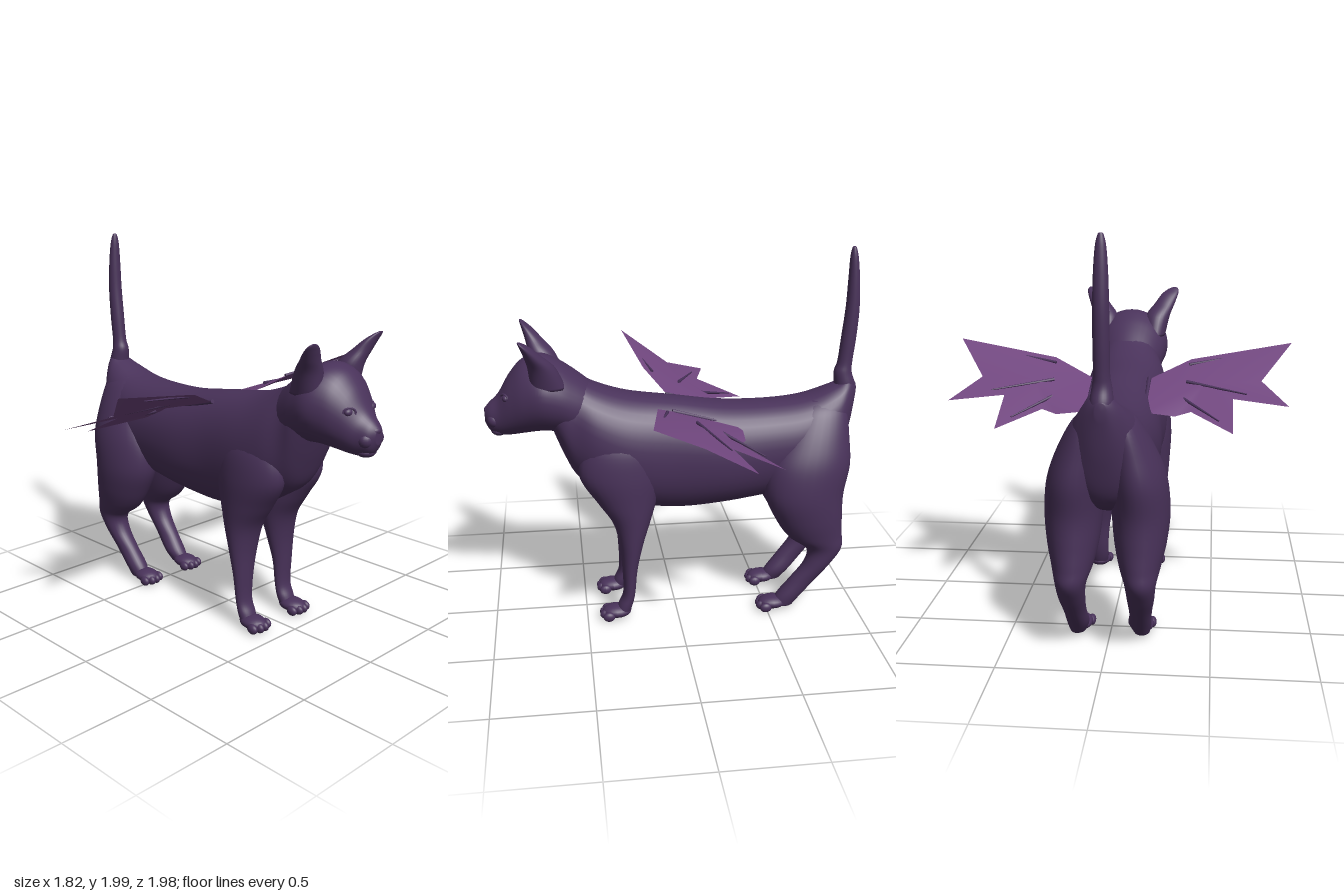
import * as THREE from 'three';

const coat = new THREE.MeshStandardMaterial({ color: 0x49325a });
coat.name = 'dark plum coat';
const membrane = new THREE.MeshStandardMaterial({ color: 0x71477f, side: THREE.DoubleSide });
membrane.name = 'violet wing membrane';

// Smooth loft through rings [t, a0, a1, x0, x1]: t runs along the axis (y or z),
// a0..a1 is the extent on the other upright axis, x0..x1 the extent across.
function loft(axis, rings, steps = 6, sides = 28, power = 1) {
  const n = rings.length - 1, rows = n * steps, pos = [], idx = [];
  const at = (i) => rings[Math.min(n, Math.max(0, i))];
  const push = (x, a, t) => (axis === 'y' ? pos.push(x, t, a) : pos.push(x, a, t));
  const soft = (v) => Math.sign(v) * Math.abs(v) ** power;
  const sample = (u) => {
    const i = Math.min(n - 1, Math.floor(u)), f = u - i;
    return at(i).map((p1, k) => {
      const p0 = at(i - 1)[k], p2 = at(i + 1)[k], p3 = at(i + 2)[k];
      return p1 + 0.5 * f * (p2 - p0 + f * (2 * p0 - 5 * p1 + 4 * p2 - p3 + f * (3 * (p1 - p2) + p3 - p0)));
    });
  };
  for (let r = 0; r <= rows; r++) {
    const [t, a0, a1, x0, x1] = sample(r / steps);
    for (let j = 0; j < sides; j++) {
      const q = (j / sides) * Math.PI * 2;
      push((x0 + x1) / 2 + soft(Math.cos(q)) * (x1 - x0) / 2, (a0 + a1) / 2 + soft(Math.sin(q)) * (a1 - a0) / 2, t);
    }
  }
  const flip = (axis === 'z') !== (rings[n][0] < rings[0][0]);
  const tri = (a, b, c) => (flip ? idx.push(a, c, b) : idx.push(a, b, c));
  for (const e of [rings[0], rings[n]]) push((e[3] + e[4]) / 2, (e[1] + e[2]) / 2, e[0]);
  const first = (rows + 1) * sides, last = rows * sides;
  for (let j = 0; j < sides; j++) {
    const k = (j + 1) % sides;
    for (let r = 0; r < rows; r++) {
      const a = r * sides + j, b = r * sides + k;
      tri(a, a + sides, b);
      tri(b, a + sides, b + sides);
    }
    tri(first, j, k);
    tri(first + 1, last + k, last + j);
  }
  return build(pos, idx);
}

function build(pos, idx) {
  const g = new THREE.BufferGeometry();
  g.setAttribute('position', new THREE.Float32BufferAttribute(pos, 3));
  g.setIndex(idx);
  g.computeVertexNormals();
  return g;
}

function mirrored(geometry) {
  const g = geometry.clone().scale(-1, 1, 1), ix = g.index.array;
  for (let i = 0; i < ix.length; i += 3) [ix[i], ix[i + 1]] = [ix[i + 1], ix[i]];
  g.computeVertexNormals();
  return g;
}

const ball = (x, y, z, rx, ry, rz) => new THREE.SphereGeometry(1, 20, 14).scale(rx, ry, rz).translate(x, y, z);

// Thin pointed rib between two points
function rib(a, b, r) {
  const from = new THREE.Vector3(...a), to = new THREE.Vector3(...b), dir = to.clone().sub(from);
  const g = new THREE.CylinderGeometry(r * 0.4, r, dir.length(), 8);
  g.applyQuaternion(new THREE.Quaternion().setFromUnitVectors(new THREE.Vector3(0, 1, 0), dir.normalize()));
  const mid = from.add(to).multiplyScalar(0.5);
  return g.translate(mid.x, mid.y, mid.z);
}

export function createModel() {
  const model = new THREE.Group();
  const add = (name, geometry, material = coat) => {
    const m = new THREE.Mesh(geometry, material);
    m.name = name;
    model.add(m);
  };
  const pair = (name, geometry, material) => {
    add(name + 'Left', geometry, material);
    add(name + 'Right', mirrored(geometry), material);
  };
  const even = (rows) => rows.map(([t, a0, a1, w]) => [t, a0, a1, -w, w]);

  // Torso, rump to neck: z, bottom, top, half width
  add('torso', loft('z', even([
    [-0.985, 1.2, 1.27, 0.025], [-0.94, 0.98, 1.3, 0.09], [-0.86, 0.78, 1.265, 0.16], [-0.7, 0.69, 1.21, 0.21],
    [-0.5, 0.66, 1.19, 0.22], [-0.25, 0.625, 1.195, 0.23], [0, 0.61, 1.23, 0.225], [0.25, 0.65, 1.265, 0.24],
    [0.42, 0.74, 1.32, 0.225], [0.53, 0.82, 1.38, 0.19], [0.6, 0.96, 1.41, 0.18], [0.66, 1.12, 1.42, 0.16],
  ]), 6, 36, 0.92));

  // Head with tapered muzzle
  add('head', loft('z', even([
    [0.42, 1.04, 1.31, 0.14], [0.52, 1.04, 1.39, 0.18], [0.61, 1.07, 1.45, 0.205], [0.7, 1.08, 1.485, 0.214],
    [0.79, 1.07, 1.46, 0.18], [0.86, 1.06, 1.385, 0.135], [0.92, 1.06, 1.285, 0.09], [0.97, 1.085, 1.235, 0.06],
    [0.995, 1.13, 1.205, 0.025],
  ]), 6, 36));
  pair('cheekPad', ball(0.035, 1.15, 0.945, 0.045, 0.042, 0.04));
  add('chin', ball(0, 1.085, 0.925, 0.055, 0.03, 0.045));
  add('nose', ball(0, 1.195, 0.977, 0.032, 0.02, 0.022));
  pair('eye', ball(0.088, 1.28, 0.878, 0.026, 0.02, 0.02));
  const lid = new THREE.TorusGeometry(0.03, 0.006, 8, 24).scale(1, 0.72, 1).rotateY(0.65).translate(0.089, 1.28, 0.885);
  pair('eyelid', lid);

  // Ears flaring outward and forward
  pair('ear', loft('y', [
    [1.34, 0.57, 0.75, 0.08, 0.2], [1.45, 0.62, 0.76, 0.085, 0.225], [1.52, 0.685, 0.775, 0.135, 0.252],
    [1.57, 0.735, 0.79, 0.172, 0.27], [1.597, 0.77, 0.799, 0.205, 0.273], [1.61, 0.79, 0.802, 0.235, 0.262],
  ]));

  // Front legs, ankle to shoulder
  pair('frontLeg', loft('y', [
    [0.035, 0.27, 0.35, 0.11, 0.2], [0.09, 0.25, 0.33, 0.1, 0.205], [0.16, 0.236, 0.303, 0.1, 0.205],
    [0.3, 0.222, 0.305, 0.088, 0.217], [0.45, 0.188, 0.318, 0.055, 0.233], [0.58, 0.148, 0.352, 0.03, 0.243],
    [0.7, 0.115, 0.43, 0.02, 0.252], [0.85, 0.09, 0.52, 0.03, 0.258], [1, 0.11, 0.5, 0.05, 0.24],
    [1.13, 0.18, 0.42, 0.08, 0.18],
  ]));

  // Hind legs, ankle through hock to haunch
  pair('hindLeg', loft('y', [
    [0.03, -0.65, -0.53, 0.12, 0.2], [0.09, -0.7, -0.56, 0.1, 0.21], [0.18, -0.775, -0.63, 0.105, 0.215],
    [0.28, -0.855, -0.705, 0.1, 0.23], [0.37, -0.913, -0.715, 0.09, 0.24], [0.45, -0.912, -0.61, 0.06, 0.262],
    [0.56, -0.905, -0.535, 0.035, 0.287], [0.7, -0.905, -0.475, 0.02, 0.3], [0.86, -0.935, -0.48, 0.015, 0.284],
    [1, -0.932, -0.55, 0.015, 0.235], [1.14, -0.92, -0.64, 0.02, 0.16], [1.2, -0.88, -0.72, 0.03, 0.1],
  ]));

  // Paws with four toes each
  for (const [name, z, y] of [['front', 0.34, 0.05], ['hind', -0.535, 0.045]]) {
    pair(name + 'Paw', ball(0.155, y, z, 0.062, 0.036, 0.08));
    for (let i = 0; i < 4; i++) {
      const off = i - 1.5;
      pair(name + 'Toe' + (i + 1), ball(0.155 + off * 0.035, y - 0.012, z + 0.068 - Math.abs(off) * 0.015, 0.02, 0.027, 0.033));
    }
  }

  // Upright tail with a swollen base
  add('tail', loft('y', [
    [1.16, -0.96, -0.86, -0.05, 0.05], [1.25, -0.985, -0.87, -0.055, 0.055], [1.33, -0.962, -0.865, -0.046, 0.046],
    [1.39, -0.962, -0.882, -0.038, 0.038], [1.52, -0.975, -0.895, -0.038, 0.038], [1.68, -0.983, -0.91, -0.037, 0.037],
    [1.83, -0.975, -0.915, -0.033, 0.033], [1.94, -0.962, -0.918, -0.025, 0.025], [1.99, -0.95, -0.925, -0.014, 0.014],
    [2, -0.944, -0.931, -0.006, 0.006],
  ]));

  // Ragged wing sheet: a fan around the hub (first point)
  const outline = [
    [0.45, 1.2, -0.08], [0.145, 1.19, 0.02], [0.37, 1.285, 0.13], [0.91, 1.37, 0.21], [0.74, 1.205, -0.05],
    [0.87, 1.12, -0.28], [0.59, 1.14, -0.21], [0.59, 1.02, -0.47], [0.38, 1.085, -0.285], [0.3, 1.07, -0.33],
    [0.145, 1.09, -0.34],
  ];
  const fan = [];
  for (let i = 1; i < outline.length; i++) fan.push(0, i, (i % (outline.length - 1)) + 1);
  pair('wing', build(outline.flat(), fan), membrane);

  // Fine dark ribs on the wings and along their roots
  pair('wingRibFront', rib([0.36, 1.265, 0.08], [0.72, 1.318, 0.165], 0.008));
  pair('wingRibMiddle', rib([0.35, 1.2, -0.07], [0.66, 1.162, -0.19], 0.009));
  pair('wingRibBack', rib([0.34, 1.135, -0.2], [0.52, 1.065, -0.39], 0.009));
  pair('wingRoot', rib([0.148, 1.195, 0.03], [0.148, 1.095, -0.34], 0.012));
  return model;
}
